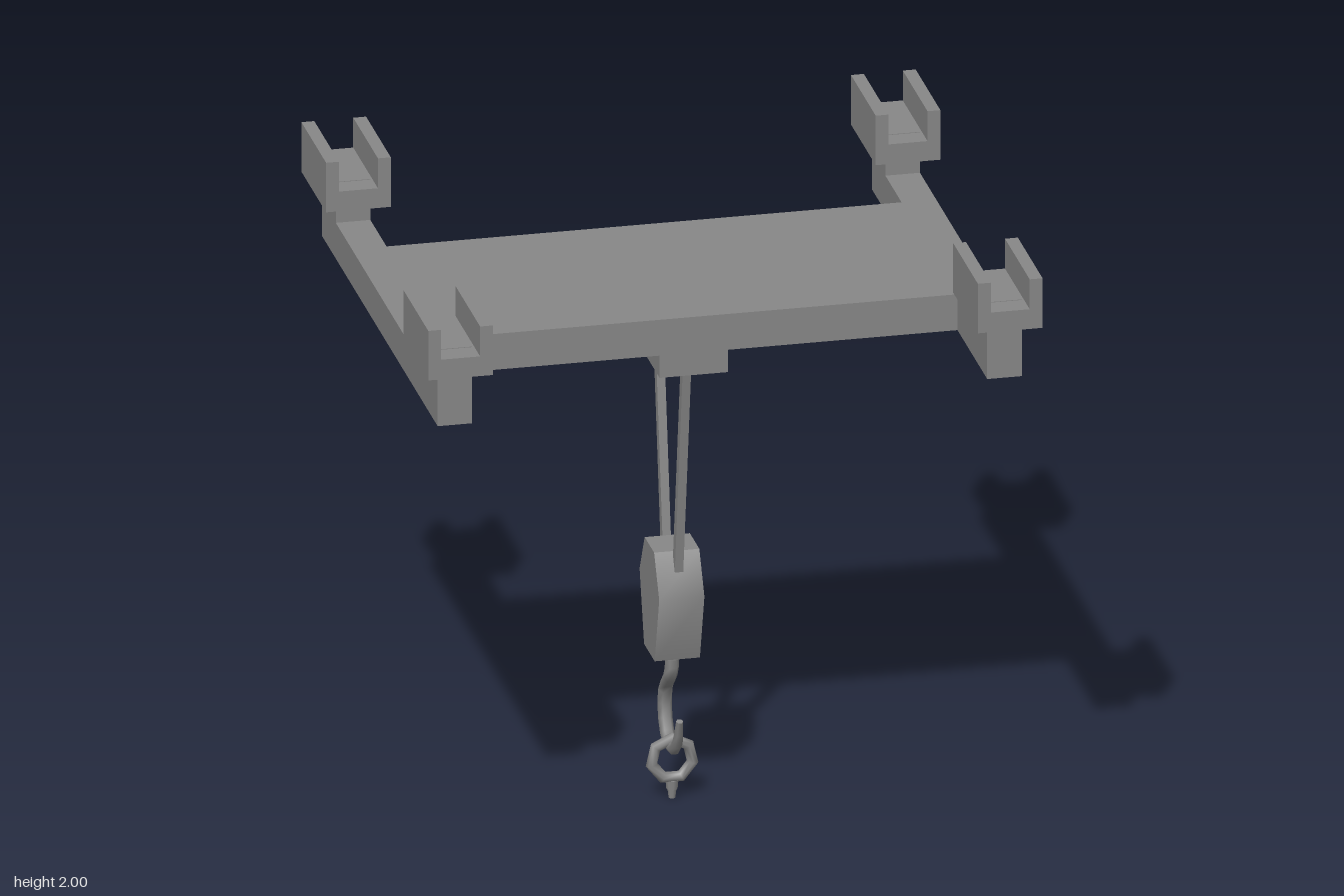
import * as THREE from 'three';
import { toCreasedNormals } from 'three/addons/utils/BufferGeometryUtils.js';

const material = new THREE.MeshStandardMaterial({ color: 0x878787 });

export function createModel() {
  const model = new THREE.Group();

  const add = (name, geometry) => {
    const mesh = new THREE.Mesh(geometry, material);
    mesh.name = name;
    model.add(mesh);
    return mesh;
  };

  // Box given by its limits on each axis
  const box = (name, [x0, x1], [y0, y1], [z0, z1]) =>
    add(name, new THREE.BoxGeometry(x1 - x0, y1 - y0, z1 - z0))
      .position.set((x0 + x1) / 2, (y0 + y1) / 2, (z0 + z1) / 2);

  // Outline extruded and centred along its depth
  const slab = (points, depth) => {
    const shape = new THREE.Shape(points.map(([x, y]) => new THREE.Vector2(x, y)));
    return new THREE.ExtrudeGeometry(shape, { depth, bevelEnabled: false }).translate(0, 0, -depth / 2);
  };

  // Trolley frame; each post reaches just through its channel's floor
  box('deck', [-0.82, 0.82], [1.645, 1.765], [-0.39, 0.39]);
  const channel = slab([
    [-0.103, 1.834], [0.103, 1.834], [0.103, 2], [0.062, 2],
    [0.062, 1.9], [-0.062, 1.9], [-0.062, 2], [-0.103, 2],
  ], 0.345);
  for (const sx of [-1, 1]) {
    const xs = sx > 0 ? [0.82, 0.93] : [-0.93, -0.82];
    box('sideRail', xs, [1.645, 1.765], [-0.805, 0.805]);
    for (const sz of [-1, 1]) {
      box('post', xs, [1.765, 1.902], sz > 0 ? [0.615, 0.805] : [-0.805, -0.615]);
      add('railChannel', channel).position.set(sx * 0.875, 0, sz * 0.7125);
    }
  }

  // Cable mounts and the two converging cables
  for (const s of [-1, 1]) {
    box('cableMount', [-0.109, 0.109], [1.535, 1.645], s > 0 ? [0.088, 0.305] : [-0.305, -0.088]);
    const top = new THREE.Vector3(0, 1.56, s * 0.2);
    const end = new THREE.Vector3(0, 0.78, s * 0.08);
    const dir = top.clone().sub(end);
    const cable = add('cable', new THREE.BoxGeometry(0.027, dir.length(), 0.032));
    cable.position.copy(top).add(end).multiplyScalar(0.5);
    cable.quaternion.setFromUnitVectors(new THREE.Vector3(0, 1, 0), dir.normalize());
  }

  // Pulley block, a hexagon across z with softly shaded side corners
  const block = slab([
    [-0.074, 0.491], [0.074, 0.491], [0.137, 0.72],
    [0.066, 0.852], [-0.066, 0.852], [-0.137, 0.72],
  ], 0.144).rotateY(Math.PI / 2);
  add('pulleyBlock', toCreasedNormals(block, 1));
  add('collar', new THREE.CylinderGeometry(0.034, 0.034, 0.03, 8)).position.y = 0.486;

  // Hook: a coarse tube narrowing to a blunt tip
  const path = new THREE.CatmullRomCurve3([
    [0, 0.49], [-0.004, 0.425], [-0.04, 0.383], [-0.085, 0.345], [-0.103, 0.285],
    [-0.09, 0.222], [-0.055, 0.182], [0, 0.169], [0.055, 0.188], [0.087, 0.235], [0.106, 0.296],
  ].map(([z, y]) => new THREE.Vector3(0, y, z)));
  const segments = 12, sides = 6, radius = 0.023, tipScale = 0.5;
  const hook = new THREE.TubeGeometry(path, segments, radius, sides);
  const p = hook.attributes.position, v = new THREE.Vector3();
  for (let i = 0; i < p.count; i++) {
    const t = Math.floor(i / (sides + 1)) / segments;
    const centre = path.getPointAt(t);
    const scale = THREE.MathUtils.mapLinear(Math.max(t, 0.7), 0.7, 1, 1, tipScale);
    v.fromBufferAttribute(p, i).sub(centre).multiplyScalar(scale).add(centre);
    p.setXYZ(i, v.x, v.y, v.z);
  }
  add('hook', hook);
  const tip = add('hookTip', new THREE.CircleGeometry(radius * tipScale, sides));
  tip.position.copy(path.getPointAt(1));
  tip.lookAt(path.getPointAt(1).add(path.getTangentAt(1)));

  // Seven-sided ring through the hook, with its pin below
  const ring = add('ring', new THREE.TorusGeometry(0.067, 0.019, 8, 7));
  ring.rotation.z = Math.PI / 2;
  ring.position.y = 0.13;
  add('pinCollar', new THREE.CylinderGeometry(0.021, 0.018, 0.03, 8)).position.y = 0.045;
  add('pin', new THREE.CylinderGeometry(0.015, 0.011, 0.034, 8)).position.y = 0.017;

  return model;
}
